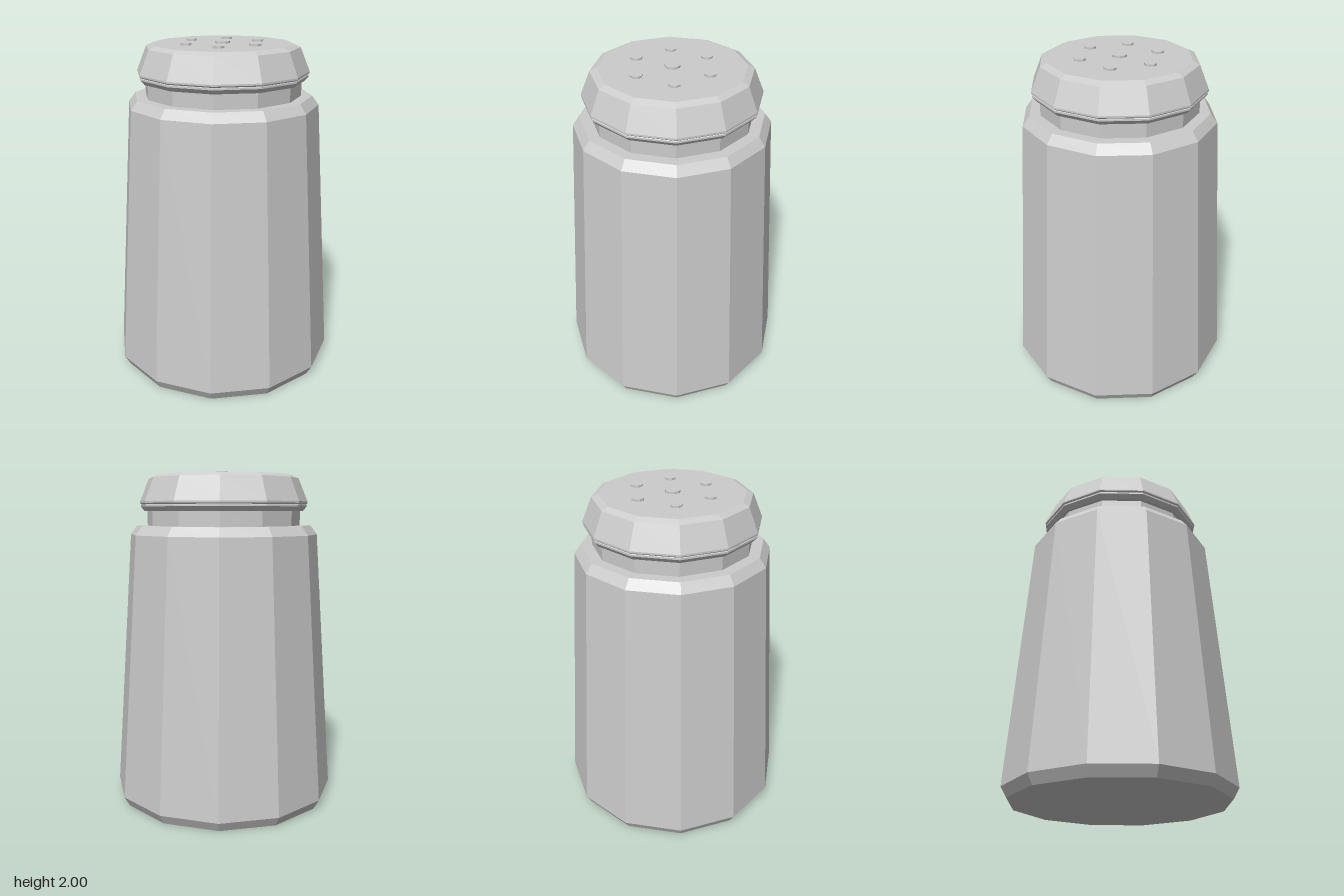
import * as THREE from 'three';

const SIDES = 12;

export function createModel() {
  const group = new THREE.Group();
  const material = new THREE.MeshStandardMaterial({ color: 0xcccccc, flatShading: true });

  const add = (name, geometry, x = 0, y = 0, z = 0) => {
    const mesh = new THREE.Mesh(geometry, material);
    mesh.name = name;
    mesh.position.set(x, y, z);
    group.add(mesh);
  };

  // Faceted solid of revolution; the profile runs from bottom to top and is capped on the axis
  const turned = (name, profile) => {
    const points = [[0, profile[0][1]], ...profile, [0, profile.at(-1)[1]]];
    add(name, new THREE.LatheGeometry(points.map(([r, y]) => new THREE.Vector2(r, y)), SIDES));
  };

  // Tapered body with bevelled foot and shoulder
  turned('body', [[0.645, 0], [0.68, 0.06], [0.57, 1.637], [0.53, 1.69]]);

  // Neck between the body and the cap
  turned('neck', [[0.465, 1.67], [0.465, 1.8]]);

  // Rim ring under the cap
  turned('rim', [[0.483, 1.777], [0.505, 1.802], [0.505, 1.812], [0.49, 1.822]]);

  // Sloping cap with a bevelled top edge
  turned('cap', [[0.49, 1.806], [0.51, 1.822], [0.51, 1.832], [0.453, 1.97], [0.415, 1.988]]);

  // Shaker holes: one in the centre and six around it
  const hole = (name, radius, sides, x, z) =>
    add(name, new THREE.CylinderGeometry(radius, radius, 0.02, sides), x, 1.99, z);
  hole('centreHole', 0.043, 10, 0, 0);
  for (let i = 0; i < 6; i++) {
    const a = (i * Math.PI) / 3;
    hole('outerHole', 0.035, 8, 0.228 * Math.cos(a), 0.228 * Math.sin(a));
  }

  return group;
}
